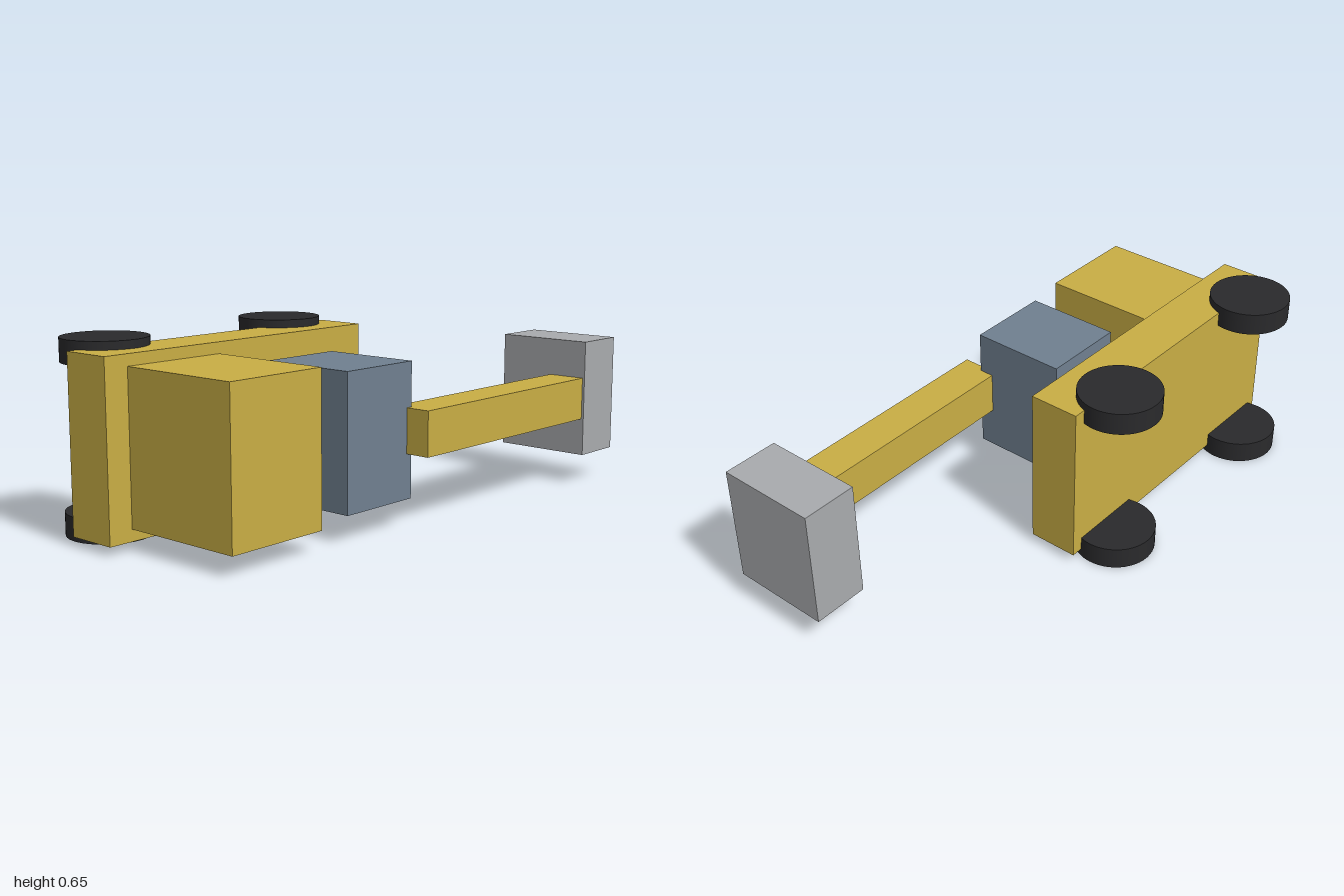
import * as THREE from 'three';

const paint = (color) => new THREE.MeshStandardMaterial({ color });

export function createModel() {
  const model = new THREE.Group();
  model.name = 'loader';

  const yellow = paint(0xc9ae45);
  const slate = paint(0x708090);
  const steel = paint(0xa9abae);
  const rubber = paint(0x2a2a2c);

  // Box given by its [min, max] extent along each axis
  const addBox = (name, material, x, y, z) => {
    const size = [x, y, z].map(([a, b]) => b - a);
    const mesh = new THREE.Mesh(new THREE.BoxGeometry(...size), material);
    mesh.position.set(...[x, y, z].map(([a, b]) => (a + b) / 2));
    mesh.name = name;
    model.add(mesh);
  };

  // Body, lying on its side with the wheels towards the back
  addBox('chassis', yellow, [-1, 0.155], [0.03, 0.622], [-0.275, -0.092]);
  addBox('engineHousing', yellow, [-0.912, -0.53], [0.07, 0.583], [-0.092, 0.36]);
  addBox('cab', slate, [-0.415, -0.1], [0.095, 0.557], [0.01, 0.364]);

  // Lifting arm and bucket
  addBox('arm', yellow, [-0.123, 0.8], [0.249, 0.404], [0.31, 0.453]);
  addBox('bucket', steel, [0.8, 1], [0.112, 0.54], [0.098, 0.462]);

  // Four wheels with upright axles
  const wheelGeometry = new THREE.CylinderGeometry(0.145, 0.145, 0.08, 48);
  for (const x of [-0.82, -0.028]) {
    for (const y of [0.04, 0.61]) {
      const wheel = new THREE.Mesh(wheelGeometry, rubber);
      wheel.position.set(x, y, -0.316);
      wheel.name = 'wheel';
      model.add(wheel);
    }
  }
  return model;
}
